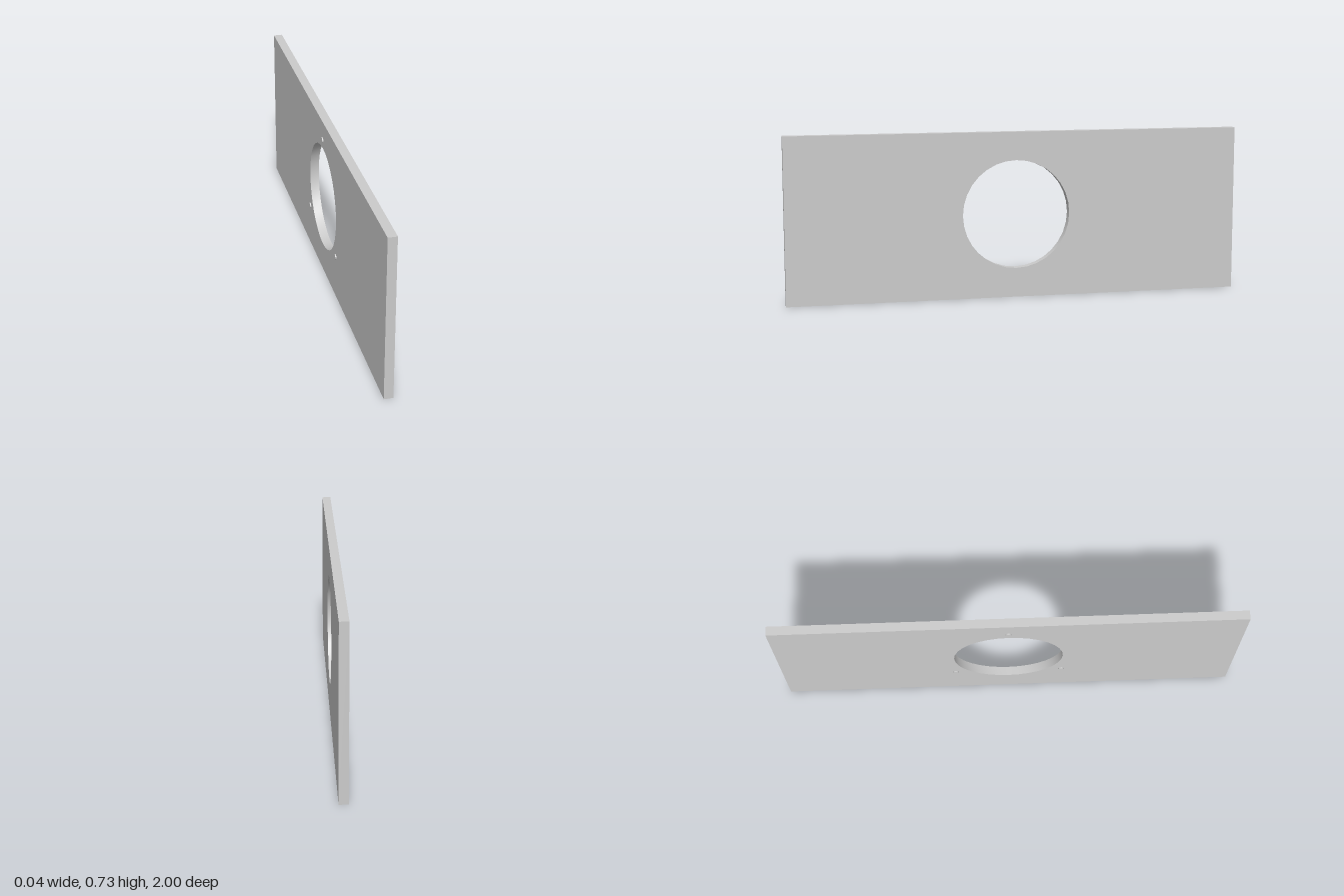
import * as THREE from 'three';
import { toCreasedNormals } from 'three/addons/utils/BufferGeometryUtils.js';

const HEIGHT = 0.725;
const BACK_X = -0.017;
const FRONT_X = 0.022;
const CENTER_Y = 0.365;

export function createModel() {
  const group = new THREE.Group();
  const material = new THREE.MeshStandardMaterial({ color: 0xcccccc });

  // Flat panel with a round opening, extruded along x
  const outline = new THREE.Shape();
  outline.moveTo(-1, 0);
  outline.lineTo(1, 0);
  outline.lineTo(1, HEIGHT);
  outline.lineTo(-1, HEIGHT);
  outline.closePath();
  const opening = new THREE.Path();
  opening.absarc(0, CENTER_Y, 0.237, 0, Math.PI * 2, true);
  outline.holes.push(opening);

  const panelGeometry = new THREE.ExtrudeGeometry(outline, {
    depth: FRONT_X - BACK_X,
    bevelEnabled: false,
    curveSegments: 16,
  });
  panelGeometry.rotateY(Math.PI / 2);
  panelGeometry.translate(BACK_X, 0, 0);
  const panel = new THREE.Mesh(toCreasedNormals(panelGeometry, Math.PI / 6), material);
  panel.name = 'panel';
  group.add(panel);

  // Three small pegs around the opening, on the -x face
  const pegLength = 0.01;
  const pegGeometry = new THREE.CylinderGeometry(0.0127, 0.0127, pegLength, 24);
  pegGeometry.rotateZ(Math.PI / 2);
  const pegs = [
    ['topPeg', 0.64, 0],
    ['lowerFrontPeg', 0.196, 0.235],
    ['lowerBackPeg', 0.196, -0.235],
  ];
  for (const [name, y, z] of pegs) {
    const peg = new THREE.Mesh(pegGeometry, material);
    peg.name = name;
    peg.position.set(-0.022 + pegLength / 2, y, z);
    group.add(peg);
  }

  return group;
}
